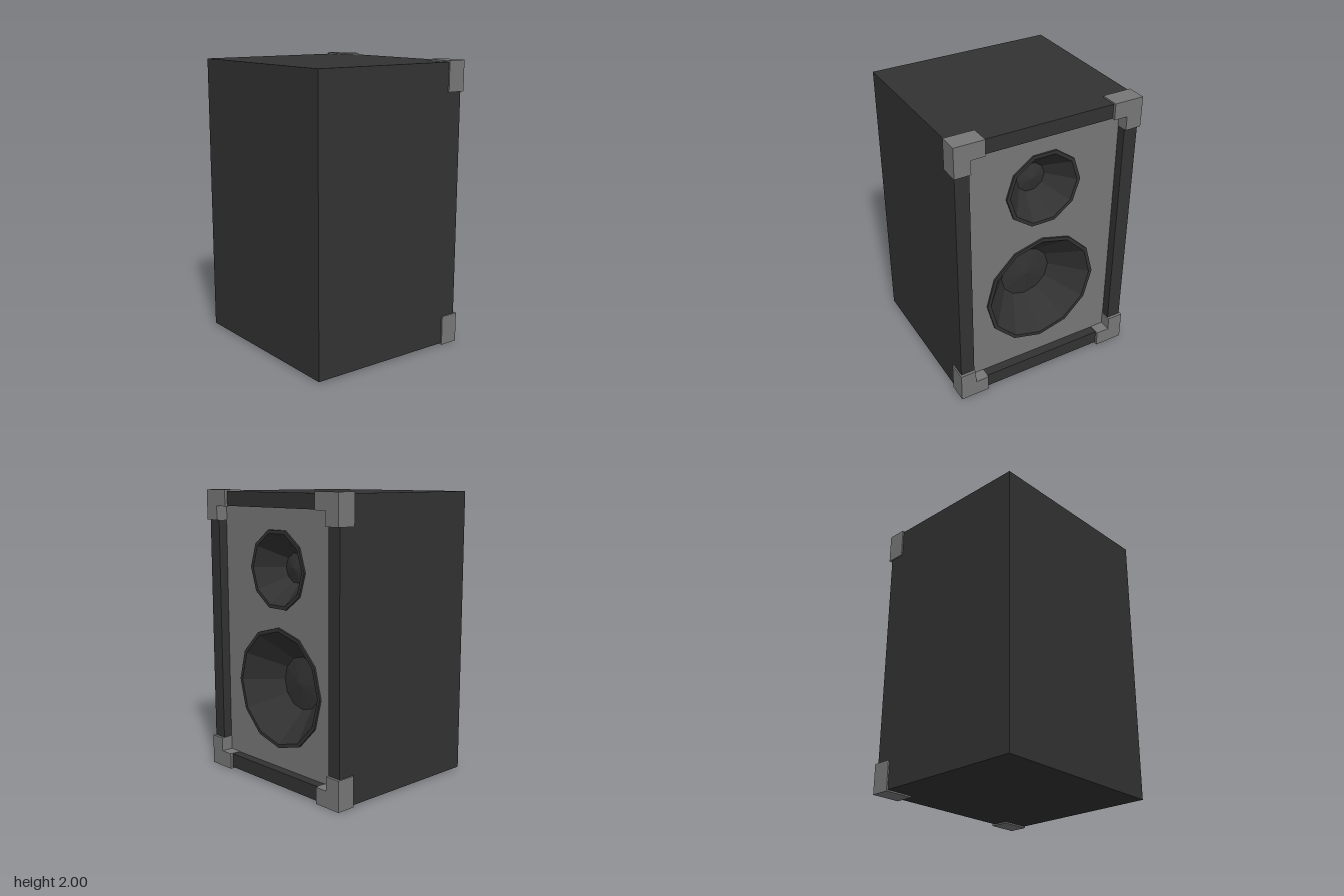
import * as THREE from 'three';

const FRONT = 0.585, BACK = -0.605, PANEL = 0.52;
const dark = new THREE.MeshStandardMaterial({ color: 0x323232, flatShading: true, side: THREE.DoubleSide });
const grey = new THREE.MeshStandardMaterial({ color: 0x777777, flatShading: true });

function add(group, name, geometry, material) {
  const mesh = new THREE.Mesh(geometry, material);
  mesh.name = name;
  group.add(mesh);
  return mesh;
}

// Rectangle as points, in the plane of the speaker face (horizontal, height)
function rect(w, y0, y1) {
  return [[-w, y0], [w, y0], [w, y1], [-w, y1]].map(p => new THREE.Vector2(...p));
}

// Extrude a face outline along x, from x0 to x1
function extrudeX(shape, x0, x1) {
  const g = new THREE.ExtrudeGeometry(shape, { depth: x1 - x0, bevelEnabled: false });
  return g.rotateY(Math.PI / 2).translate(x0, 0, 0);
}

// Polygon hole whose corners line up with those of the driver lathe
function driverHole({ y, r, sides }) {
  const pts = [];
  for (let i = 0; i < sides; i++) {
    const a = (i / sides) * Math.PI * 2;
    pts.push(new THREE.Vector2(-r * Math.cos(a), y - r * Math.sin(a)));
  }
  return new THREE.Path(pts);
}

export function createModel() {
  const model = new THREE.Group();
  model.name = 'loudspeaker';

  const drivers = [
    { name: 'woofer', y: 0.67, r: 0.41, cap: 0.19, depth: 0.21, sides: 12 },
    { name: 'tweeter', y: 1.48, r: 0.265, cap: 0.105, depth: 0.16, sides: 10 },
  ];

  // Cabinet: open shell and back board
  const shell = new THREE.Shape(rect(0.66, 0.01, 1.99));
  shell.holes.push(new THREE.Path(rect(0.56, 0.11, 1.89)));
  add(model, 'cabinetShell', extrudeX(shell, BACK, FRONT), dark);
  add(model, 'backBoard', extrudeX(new THREE.Shape(rect(0.56, 0.11, 1.89)), BACK, BACK + 0.05), dark);

  // Recessed baffle with a hole for each driver
  const baffle = new THREE.Shape(rect(0.56, 0.11, 1.89));
  drivers.forEach(d => baffle.holes.push(driverHole(d)));
  add(model, 'baffle', extrudeX(baffle, PANEL - 0.04, PANEL), grey);

  // Drivers: raised rim, faceted cone and shallow dust cap
  for (const d of drivers) {
    const profile = [
      [d.r + 0.012, -0.01], [d.r + 0.01, 0.012], [d.r - 0.015, 0.012],
      [d.cap, -d.depth], [0, -d.depth + 0.025],
    ].map(p => new THREE.Vector2(...p));
    const driver = add(model, d.name, new THREE.LatheGeometry(profile, d.sides), dark);
    driver.rotation.z = -Math.PI / 2;
    driver.position.set(PANEL, d.y, 0);
  }

  // L-shaped protectors on the four front corners
  for (const sz of [-1, 1]) {
    for (const sy of [-1, 1]) {
      const outline = [[0.67, 1], [0.46, 1], [0.46, 0.887], [0.557, 0.887], [0.557, 0.79], [0.67, 0.79]];
      const corner = new THREE.Shape(outline.map(([z, h]) => new THREE.Vector2(-sz * z, 1 + sy * h)));
      add(model, 'cornerProtector', extrudeX(corner, 0.47, 0.605), grey);
    }
  }
  return model;
}
